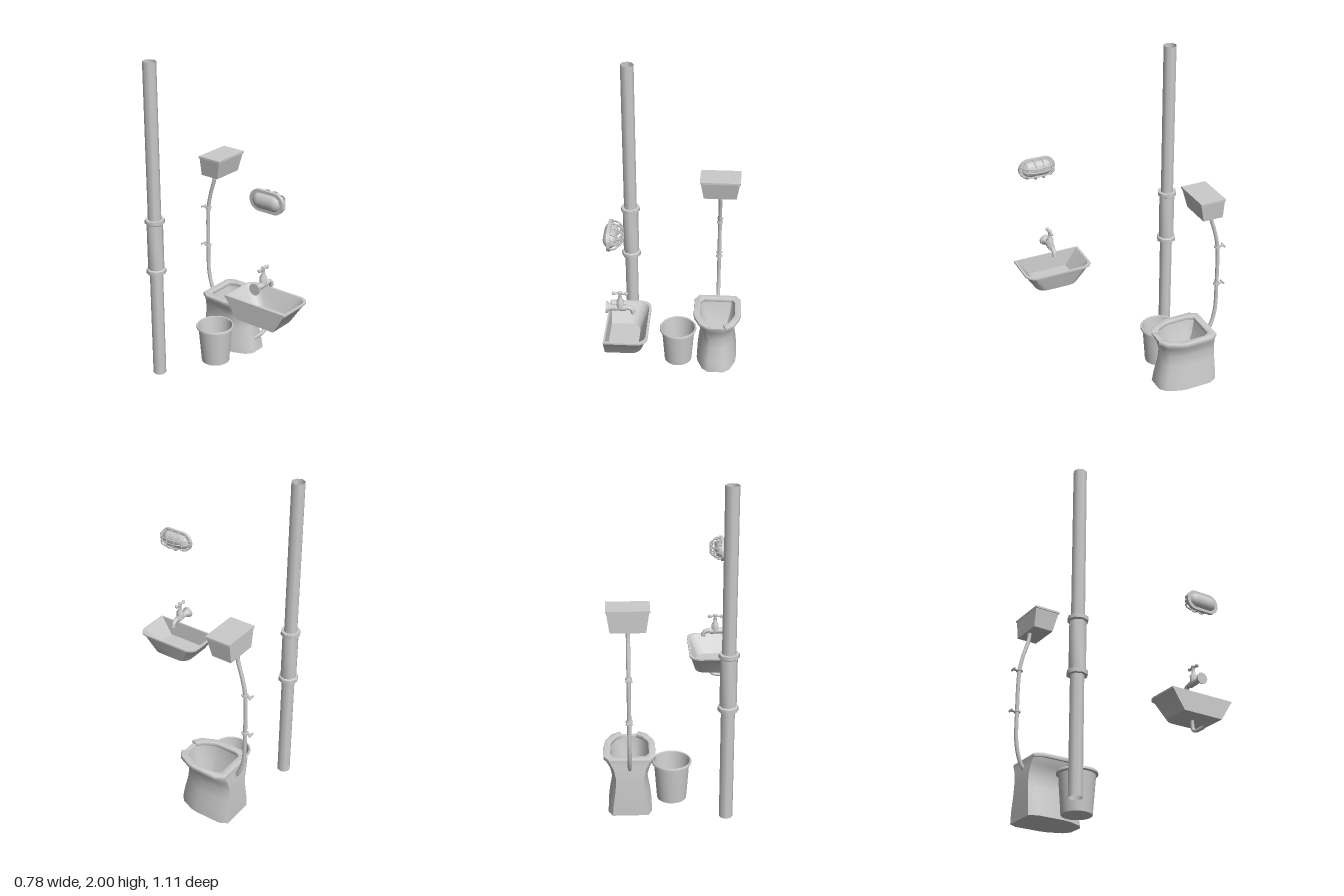
import * as THREE from 'three';
import { toCreasedNormals } from 'three/addons/utils/BufferGeometryUtils.js';

const material = new THREE.MeshStandardMaterial({ color: 0xcccccc });
const openMaterial = new THREE.MeshStandardMaterial({ color: 0xcccccc, side: THREE.DoubleSide });
const V = (x, y, z) => new THREE.Vector3(x, y, z);

function add(parent, name, geometry, x = 0, y = 0, z = 0, mat = material) {
  const mesh = new THREE.Mesh(geometry, mat);
  mesh.name = name;
  mesh.position.set(x, y, z);
  parent.add(mesh);
  return mesh;
}

function group(parent, name, x = 0, y = 0, z = 0) {
  const g = new THREE.Group();
  g.name = name;
  g.position.set(x, y, z);
  parent.add(g);
  return g;
}

const tube = (points, radius, steps = 16, sides = 8) =>
  new THREE.TubeGeometry(new THREE.CatmullRomCurve3(points), steps, radius, sides);

const lathe = (profile, sides) => toCreasedNormals(
  new THREE.LatheGeometry(profile.map(([r, y]) => new THREE.Vector2(r, y)), sides), 0.8);

// Skin over matching rings (counter-clockwise from above), capped at both ends
function loft(rings, crease = 0.7) {
  const n = rings[0].length, pos = [], index = [];
  for (const ring of rings) for (const p of ring) pos.push(p.x, p.y, p.z);
  for (let i = 0; i < rings.length - 1; i++) {
    for (let j = 0; j < n; j++) {
      const a = i * n + j, b = i * n + (j + 1) % n;
      index.push(a, b, a + n, b, b + n, a + n);
    }
  }
  [[rings[0], 0], [rings[rings.length - 1], (rings.length - 1) * n]].forEach(([ring, start], end) => {
    const c = ring.reduce((s, p) => s.add(p), V(0, 0, 0)).divideScalar(n);
    const centre = pos.length / 3;
    pos.push(c.x, c.y, c.z);
    for (let j = 0; j < n; j++) {
      const a = start + j, b = start + (j + 1) % n;
      if (end) index.push(centre, a, b); else index.push(centre, b, a);
    }
  });
  const g = new THREE.BufferGeometry();
  g.setAttribute('position', new THREE.Float32BufferAttribute(pos, 3));
  g.setIndex(index);
  g.computeVertexNormals();
  return toCreasedNormals(g, crease);
}

// Bowl outline: narrow front, straight sides, chamfered back
function bowlRing(y, w, front, back) {
  const d = front - back;
  const half = [[0.4, 0], [0.7, 0.09], [0.95, 0.31], [1, 0.42], [1, 0.87], [0.8, 1]]
    .map(([u, v]) => V(u * w, y, front - v * d));
  return [...half, ...half.map(p => V(-p.x, y, p.z)).reverse()];
}

// Basin outline: square at the wall (x0), rounded outer corners
function basinRing(y, x0, x1, z0, z1, r = 0.06) {
  const ring = [V(x0, y, z1)];
  for (const [cz, from] of [[z1 - r, Math.PI / 2], [z0 + r, 0]]) {
    for (let i = 0; i <= 4; i++) {
      const a = from - i * Math.PI / 8;
      ring.push(V(x1 - r + r * Math.cos(a), y, cz + r * Math.sin(a)));
    }
  }
  ring.push(V(x0, y, z0));
  return ring;
}

function addSoilPipe(root) {
  const g = group(root, 'soilPipe', -0.32, 0, -0.455);
  add(g, 'pipe', new THREE.CylinderGeometry(0.04, 0.04, 2, 8, 1, true), 0, 1, 0, openMaterial);
  add(g, 'sleeve', lathe([[0.04, 0.69], [0.06, 0.69], [0.06, 0.715], [0.049, 0.72],
    [0.049, 1.01], [0.06, 1.017], [0.06, 1.04], [0.04, 1.04]], 8), 0, 0, 0, openMaterial);
}

function addBin(root) {
  add(root, 'bin', lathe([[0, 0.022], [0.088, 0.022], [0.105, 0.25], [0.118, 0.255], [0.118, 0.266],
    [0.115, 0.27], [0.108, 0.268], [0.077, 0.04], [0, 0.04]], 24), -0.01, 0, -0.257);
}

function addToilet(root) {
  const g = group(root, 'toilet', 0.24, 0, 0);
  add(g, 'bowl', loft([
    bowlRing(0.025, 0.128, -0.11, -0.475), bowlRing(0.1, 0.12, -0.122, -0.475),
    bowlRing(0.19, 0.105, -0.142, -0.472), bowlRing(0.26, 0.1, -0.148, -0.47),
    bowlRing(0.32, 0.115, -0.135, -0.465), bowlRing(0.36, 0.14, -0.112, -0.46),
    bowlRing(0.372, 0.14, -0.112, -0.46), bowlRing(0.372, 0.115, -0.14, -0.42),
    bowlRing(0.28, 0.1, -0.152, -0.4), bowlRing(0.17, 0.062, -0.18, -0.35)], 0.9));

  // Horseshoe seat, open at the front
  const outline = [...bowlRing(0, 0.146, -0.108, -0.455), ...bowlRing(0, 0.116, -0.141, -0.42).reverse()];
  const shape = new THREE.Shape(outline.map(p => new THREE.Vector2(p.x, -p.z)));
  const seat = new THREE.ExtrudeGeometry(shape, {
    depth: 0.015, bevelThickness: 0.005, bevelSize: 0.005, bevelSegments: 2 });
  seat.rotateX(-Math.PI / 2);
  add(g, 'seat', toCreasedNormals(seat, 0.7), 0, 0.366, 0);

  // High cistern
  const rect = (y, w, front, back) => [V(w, y, front), V(w, y, back), V(-w, y, back), V(-w, y, front)];
  add(g, 'cistern', loft([rect(1.178, 0.1, -0.35, -0.475), rect(1.297, 0.118, -0.322, -0.475)]));
  add(g, 'cisternLid', new THREE.BoxGeometry(0.247, 0.012, 0.16), 0, 1.3, -0.398);

  // Flush pipe and its wall brackets
  add(g, 'flushPipe', tube([V(0, 1.19, -0.448), V(0, 1.13, -0.455), V(0, 1.02, -0.488), V(0, 0.92, -0.508),
    V(0, 0.66, -0.514), V(0, 0.47, -0.51), V(0, 0.37, -0.485), V(0, 0.32, -0.455), V(0, 0.305, -0.41)],
  0.012, 36));
  for (const [y, z] of [[0.92, -0.508], [0.66, -0.514]]) {
    const b = group(g, 'pipeBracket', 0, y, z);
    add(b, 'bracketRing', new THREE.CylinderGeometry(0.02, 0.02, 0.01, 12));
    add(b, 'bracketArm', new THREE.BoxGeometry(0.016, 0.008, 0.04), 0, 0, -0.022);
    add(b, 'bracketPlate', new THREE.BoxGeometry(0.042, 0.01, 0.008), 0, 0, -0.04);
  }
}

function addSink(root) {
  const g = group(root, 'sink');
  add(g, 'basin', loft([
    basinRing(0.62, -0.39, -0.18, 0.212, 0.476), basinRing(0.733, -0.39, -0.148, 0.14, 0.546),
    basinRing(0.737, -0.39, -0.14, 0.132, 0.553), basinRing(0.747, -0.39, -0.14, 0.132, 0.553),
    basinRing(0.747, -0.38, -0.153, 0.145, 0.54), basinRing(0.64, -0.375, -0.2, 0.22, 0.466)]));
  add(g, 'drainPipe', tube([V(-0.28, 0.63, 0.347), V(-0.28, 0.59, 0.347), V(-0.288, 0.56, 0.347),
    V(-0.315, 0.547, 0.347), V(-0.35, 0.545, 0.347), V(-0.393, 0.545, 0.347)], 0.011, 20));

  // Tap
  const t = group(g, 'tap', 0, 0, 0.345);
  const rod = (name, r0, r1, length, x, y) =>
    (add(t, name, new THREE.CylinderGeometry(r1, r0, length, 12), x, y, 0).rotation.z = -Math.PI / 2);
  rod('wallFlange', 0.036, 0.032, 0.012, -0.384, 0.847);
  rod('flangeNeck', 0.028, 0.016, 0.02, -0.368, 0.847);
  rod('tapBody', 0.017, 0.02, 0.1, -0.325, 0.847);
  add(t, 'spout', tube([V(-0.29, 0.849, 0), V(-0.262, 0.849, 0), V(-0.24, 0.838, 0), V(-0.231, 0.812, 0)],
    0.014, 12, 10), 0, 0, 0, openMaterial);
  add(t, 'valve', lathe([[0, 0], [0.022, 0], [0.022, 0.045], [0.012, 0.06], [0.009, 0.09],
    [0.013, 0.1], [0.013, 0.108], [0, 0.112]], 12), -0.307, 0.847, 0);
  rod('handleBar', 0.007, 0.007, 0.075, -0.307, 0.945);
  for (const s of [-1, 1]) add(t, 'handleKnob', new THREE.SphereGeometry(0.011, 10, 8), -0.307 + s * 0.036, 0.945, 0);
}

function addLamp(root) {
  // Local frame: long axis along z, facing +x
  const g = group(root, 'bulkheadLamp', -0.355, 1.372, 0.396);
  const hw = 0.112, r = 0.062;
  const stadium = new THREE.Shape();
  stadium.absarc(hw - r, 0, r, -Math.PI / 2, Math.PI / 2);
  stadium.absarc(r - hw, 0, r, Math.PI / 2, Math.PI * 1.5);
  const plate = new THREE.ExtrudeGeometry(stadium, { depth: 0.018, bevelEnabled: false, curveSegments: 10 });
  plate.rotateY(Math.PI / 2);
  add(g, 'backPlate', toCreasedNormals(plate, 0.7));
  const glass = new THREE.CapsuleGeometry(0.048, 0.09, 8, 16);
  glass.rotateX(Math.PI / 2);
  glass.scale(0.8, 1, 1);
  add(g, 'glass', glass, 0.014, 0, 0);

  // Wire cage: long and cross hoops on one dome
  const depth = z => 0.018 + 0.064 * Math.sqrt(1 - (z / 0.106) ** 2);
  for (const y of [-0.025, 0, 0.025]) {
    const points = [];
    for (let i = 0; i <= 12; i++) {
      const a = Math.PI * i / 12;
      points.push(V(0.018 + 0.064 * Math.sin(a), y, 0.104 * Math.cos(a)));
    }
    add(g, 'longWire', tube(points, 0.004, 24, 6));
  }
  for (const z of [-0.075, -0.025, 0.025, 0.075]) {
    const h = Math.abs(z) > 0.05 ? 0.048 : 0.056, d = depth(z), points = [];
    for (let i = 0; i <= 10; i++) {
      const a = Math.PI * i / 10;
      points.push(V(0.014 + (d - 0.014) * Math.sin(a) ** 0.7, h * Math.cos(a), z));
    }
    add(g, 'crossWire', tube(points, 0.004, 20, 6));
  }
}

export function createModel() {
  const root = new THREE.Group();
  root.name = 'washroomFixtures';
  addSoilPipe(root);
  addBin(root);
  addToilet(root);
  addSink(root);
  addLamp(root);
  return root;
}
